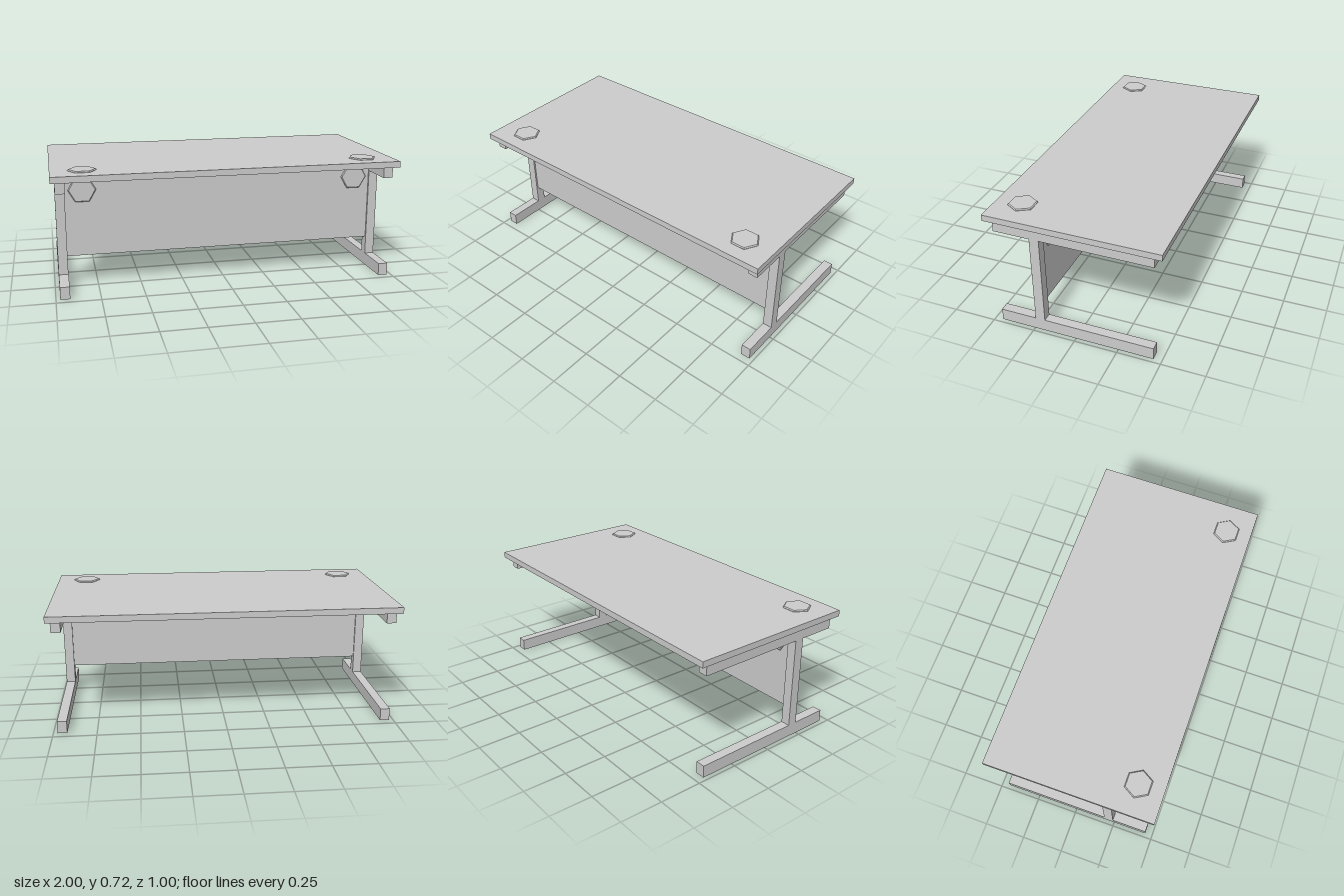
import * as THREE from 'three';

const material = new THREE.MeshStandardMaterial({ color: 0xcccccc, flatShading: true });

// Box given by its extents on each axis
function box(name, [x0, x1], [y0, y1], [z0, z1]) {
  const mesh = new THREE.Mesh(new THREE.BoxGeometry(x1 - x0, y1 - y0, z1 - z0), material);
  mesh.position.set((x0 + x1) / 2, (y0 + y1) / 2, (z0 + z1) / 2);
  mesh.name = name;
  return mesh;
}

// Hexagonal cable port cap passing through a board, chamfered at both ends
function portCap(name, boardThickness) {
  const h = boardThickness / 2 + 0.008, r = 0.081, c = 0.006;
  const profile = [[0, -h], [r - c, -h], [r, -h + c], [r, h - c], [r - c, h], [0, h]]
    .map(([x, y]) => new THREE.Vector2(x, y));
  const mesh = new THREE.Mesh(new THREE.LatheGeometry(profile, 6, Math.PI / 6), material);
  mesh.name = name;
  return mesh;
}

export function createModel() {
  const desk = new THREE.Group();
  desk.name = 'desk';

  // Worktop and modesty panel
  desk.add(box('worktop', [-1, 1], [0.672, 0.708], [-0.5, 0.5]));
  desk.add(box('modestyPanel', [-0.922, 0.922], [0.18, 0.672], [0.197, 0.233]));

  for (const side of [1, -1]) {
    const label = side > 0 ? 'left' : 'right';

    // C-shaped leg frame: foot, post and top rail
    const leg = new THREE.Group();
    leg.name = label + 'Leg';
    const x = side > 0 ? [0.921, 0.976] : [-0.976, -0.921];
    leg.add(box('foot', x, [0, 0.072], [-0.452, 0.455]));
    leg.add(box('post', x, [0.072, 0.603], [0.187, 0.243]));
    leg.add(box('topRail', x, [0.603, 0.672], [-0.452, 0.455]));
    desk.add(leg);

    // Cable ports in the worktop and in the panel
    const topPort = portCap(label + 'WorktopPort', 0.036);
    topPort.position.set(side * 0.822, 0.69, 0.35);
    const panelPort = portCap(label + 'PanelPort', 0.036);
    panelPort.rotation.x = Math.PI / 2;
    panelPort.position.set(side * 0.822, 0.57, 0.215);
    desk.add(topPort, panelPort);
  }
  return desk;
}
